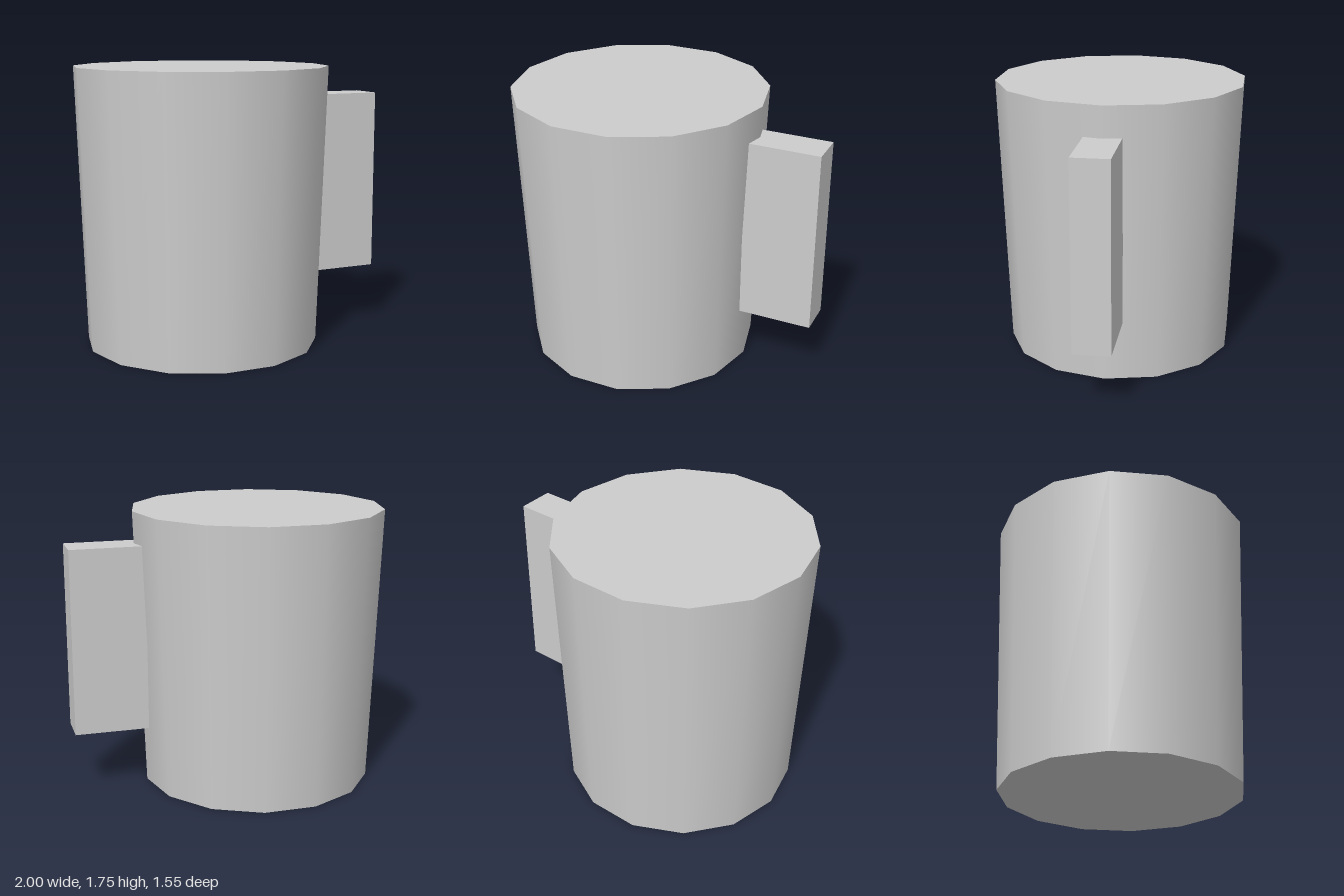
import * as THREE from 'three';

export function createModel() {
  const group = new THREE.Group();
  const grey = new THREE.MeshStandardMaterial({ color: 0xcccccc });
  grey.name = 'light grey';

  // Tapered 14-sided body with smooth sides, corners on the x axis
  const body = new THREE.Mesh(
    new THREE.CylinderGeometry(0.795, 0.735, 1.75, 14, 1, false, Math.PI / 2),
    grey
  );
  body.name = 'mugBody';
  body.position.set(-0.205, 0.875, 0);
  group.add(body);

  // Solid slab handle, its inner end just meeting the body
  const inner = 0.535, outer = 1, bottom = 0.39, top = 1.555;
  const handle = new THREE.Mesh(
    new THREE.BoxGeometry(outer - inner, top - bottom, 0.23),
    grey
  );
  handle.name = 'handle';
  handle.position.set((inner + outer) / 2, (bottom + top) / 2, 0);
  group.add(handle);

  return group;
}
